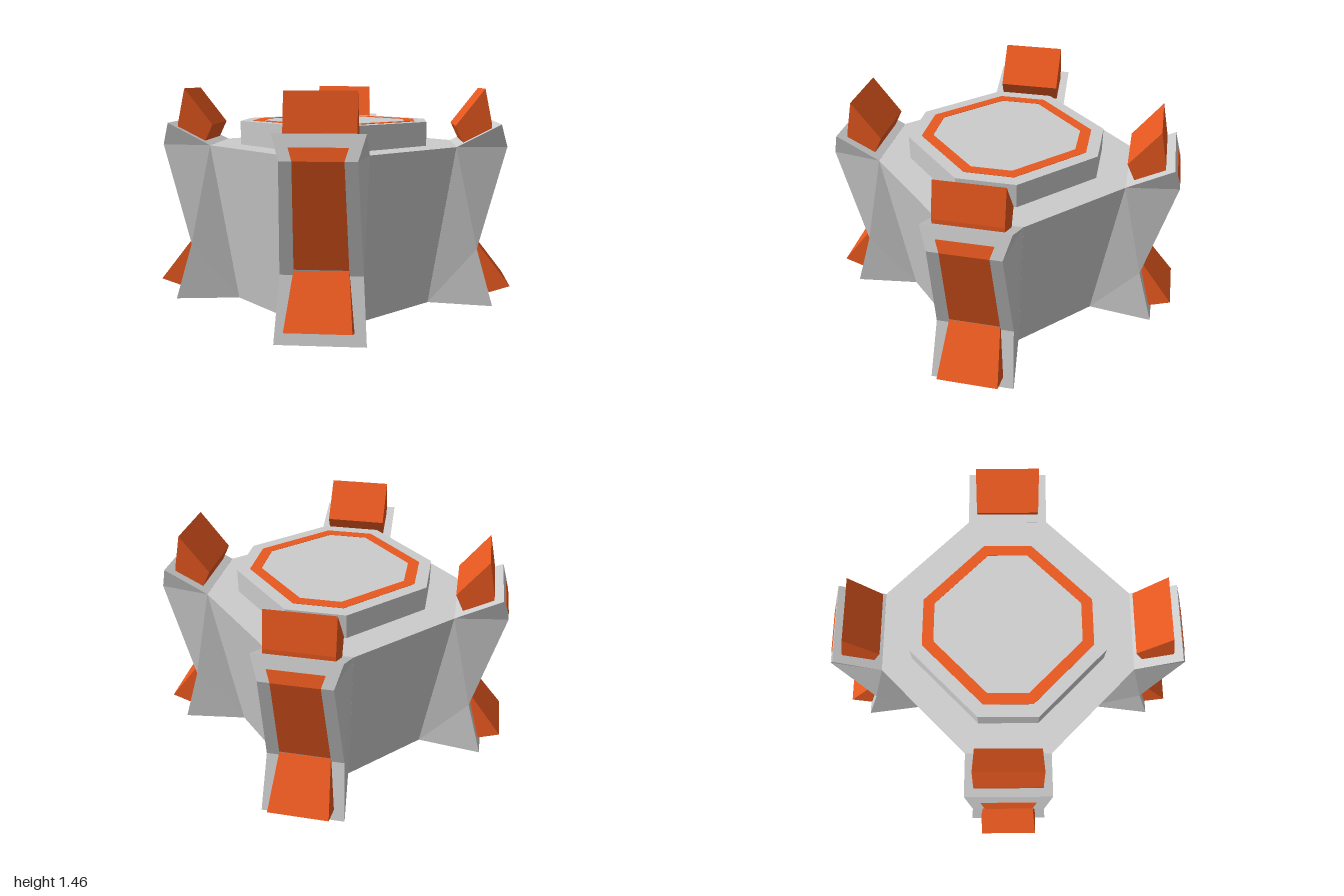
import * as THREE from 'three';

const grey = new THREE.MeshStandardMaterial({ color: 0xcccccc, flatShading: true });
const orange = new THREE.MeshStandardMaterial({ color: 0xe8581f, flatShading: true });
const TAPER = 0.8; // size of the core's base relative to its top

function mesh(name, geometry, material) {
  const m = new THREE.Mesh(geometry, material);
  m.name = name;
  return m;
}

// Octagon made from a square of half size a, with corners cut at c
function octagon(a, c, Type = THREE.Shape) {
  return new Type([[c, -a], [a, -c], [a, c], [c, a], [-c, a], [-a, c], [-a, -c], [-c, -a]]
    .map(([x, y]) => new THREE.Vector2(x, y)));
}

// Upright extrusion from height y0 to y1
function slab(shape, y0, y1) {
  return new THREE.ExtrudeGeometry(shape, { depth: y1 - y0, bevelEnabled: false })
    .rotateX(-Math.PI / 2).translate(0, y0, 0);
}

// Mirrored solid from a profile of [distance outward, height, half width];
// caps lists the triangles of the side face
function mirroredSolid(profile, caps) {
  const pos = [];
  const put = (i, side) => {
    const [r, y, w] = profile[i];
    pos.push(side * w, y, r);
  };
  for (const [a, b, c] of caps) {
    [a, b, c].forEach((i) => put(i, 1));
    [a, c, b].forEach((i) => put(i, -1));
  }
  profile.forEach((_, i) => {
    const j = (i + 1) % profile.length;
    put(i, 1); put(i, -1); put(j, -1);
    put(i, 1); put(j, -1); put(j, 1);
  });
  const g = new THREE.BufferGeometry();
  g.setAttribute('position', new THREE.Float32BufferAttribute(pos, 3));
  g.computeVertexNormals();
  return g;
}

function createCorner() {
  const corner = new THREE.Group();
  // Buttress: ramped top, bevelled lip, waisted outer face, flared foot
  corner.add(mesh('buttress', mirroredSolid([
    [0.824, 1.08, 0.272], [1.114, 1.23, 0.265], [1.162, 1.08, 0.219],
    [0.98, 0.39, 0.248], [1.092, 0, 0.272], [0.824 * TAPER, 0, 0.272 * TAPER],
  ], [[0, 1, 2], [0, 2, 3], [0, 3, 5], [3, 4, 5]]), grey));
  // Stripe folded over the lip and down the outer face
  corner.add(mesh('outerStripe', mirroredSolid([
    [1.14, 1.155, 0.169], [1.164, 1.08, 0.145], [0.991, 0.425, 0.163],
    [0.95, 0.425, 0.163], [1.13, 1.08, 0.145], [1.1, 1.155, 0.169],
  ], [[0, 1, 4], [0, 4, 5], [1, 2, 3], [1, 3, 4]]), orange));
  // Wedge standing on the ramp
  corner.add(mesh('topWedge', mirroredSolid([
    [0.82, 1.215, 0.21], [1.008, 1.46, 0.21], [1.058, 1.23, 0.21],
    [1.06, 1.18, 0.21], [0.88, 1.09, 0.21],
  ], [[0, 1, 2], [0, 2, 3], [0, 3, 4]]), orange));
  // Sloped block at the foot
  corner.add(mesh('footBlock', mirroredSolid([
    [0.978, 0.43, 0.163], [1.217, 0.12, 0.195], [1.077, 0.075, 0.2],
    [0.96, 0.2, 0.175],
  ], [[0, 1, 2], [0, 2, 3]]), orange));
  return corner;
}

export function createModel() {
  const model = new THREE.Group();
  model.name = 'pedestal';

  // Core, narrower at the bottom than at the top
  const core = slab(octagon(0.775, 0.39), 0, 1.08);
  const p = core.attributes.position;
  for (let i = 0; i < p.count; i++) {
    if (p.getY(i) > 0.5) continue;
    p.setX(i, p.getX(i) * TAPER);
    p.setZ(i, p.getZ(i) * TAPER);
  }
  core.computeVertexNormals();
  model.add(mesh('core', core, grey));

  // Raised platform with an inlaid ring
  model.add(mesh('platform', slab(octagon(0.58, 0.31), 1.08, 1.24), grey));
  const ring = octagon(0.5, 0.277);
  ring.holes.push(octagon(0.43, 0.245, THREE.Path));
  model.add(mesh('platformRing', slab(ring, 1.23, 1.242), orange));

  // Four corners on the diagonals
  ['frontLeft', 'backLeft', 'backRight', 'frontRight'].forEach((name, k) => {
    const corner = createCorner();
    corner.name = name + 'Corner';
    corner.rotation.y = Math.PI / 4 + k * Math.PI / 2;
    model.add(corner);
  });
  return model;
}
